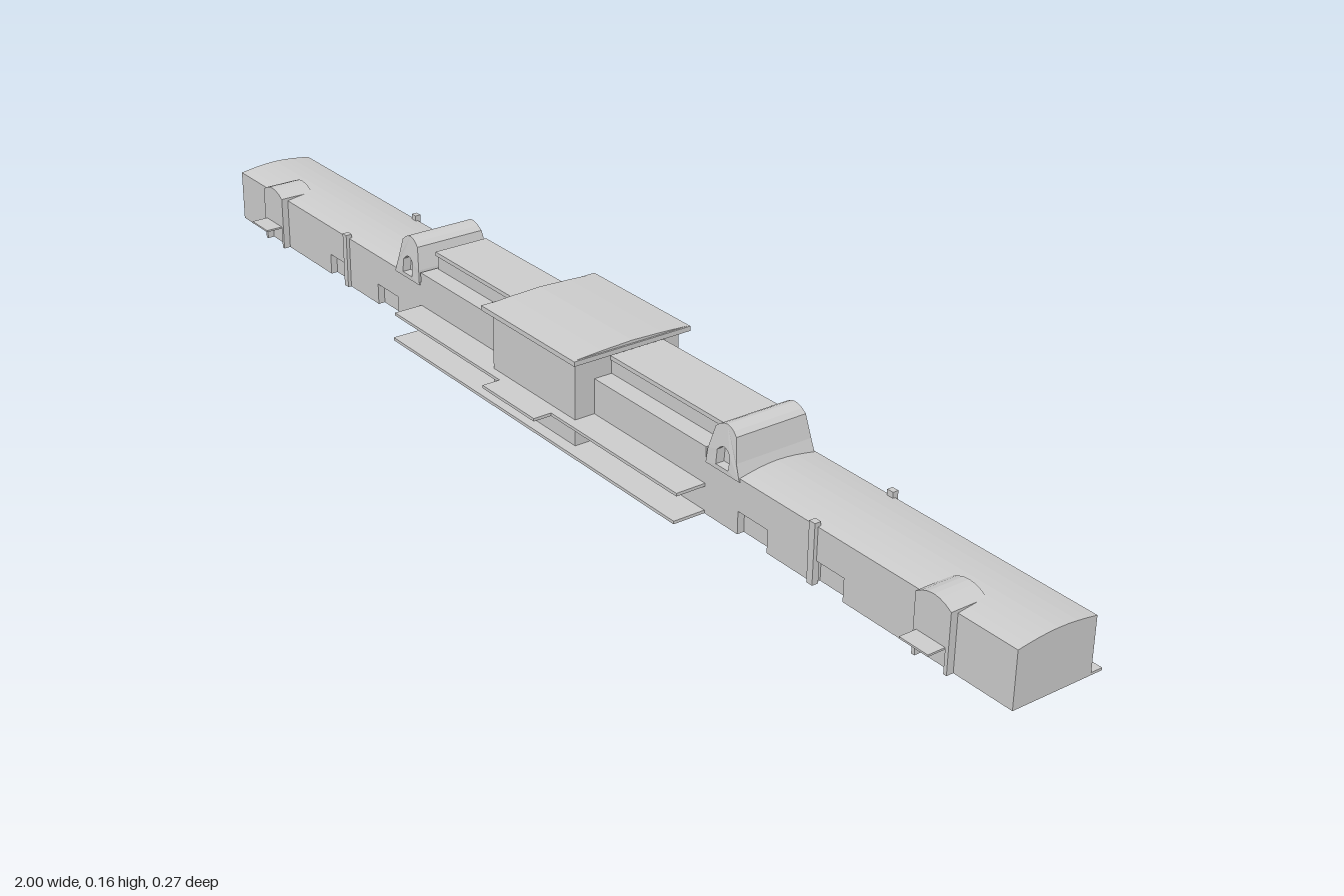
import * as THREE from 'three';

const mat = new THREE.MeshStandardMaterial({ color: 0xcccccc, flatShading: true, side: THREE.DoubleSide });

function add(parent, name, geometry) {
  const mesh = new THREE.Mesh(geometry, mat);
  mesh.name = name;
  parent.add(mesh);
  return mesh;
}

// Box given by its limits
function box(parent, name, x0, x1, y0, y1, z0, z1) {
  const g = new THREE.BoxGeometry(x1 - x0, y1 - y0, z1 - z0);
  g.translate((x0 + x1) / 2, (y0 + y1) / 2, (z0 + z1) / 2);
  return add(parent, name, g);
}

// Open strip: a (z, y) polyline swept along x
function sweep(parent, name, pts, x0, x1) {
  const pos = [];
  for (let i = 0; i < pts.length - 1; i++) {
    const [za, ya] = pts[i], [zb, yb] = pts[i + 1];
    pos.push(x0, ya, za, x1, ya, za, x1, yb, zb, x0, ya, za, x1, yb, zb, x0, yb, zb);
  }
  const g = new THREE.BufferGeometry();
  g.setAttribute('position', new THREE.Float32BufferAttribute(pos, 3));
  g.computeVertexNormals();
  return add(parent, name, g);
}

// Flat end wall closing a (z, y) profile at x
function cap(parent, name, pts, x) {
  const g = new THREE.ShapeGeometry(new THREE.Shape(pts.map(p => new THREE.Vector2(p[0], p[1]))));
  g.rotateY(-Math.PI / 2);
  g.translate(x, 0, 0);
  return add(parent, name, g);
}

// Bottomless building volume
function hall(parent, name, pts, x0, x1) {
  sweep(parent, name, pts, x0, x1);
  cap(parent, name + 'End', pts, x0);
  cap(parent, name + 'End', pts, x1);
}

function rect(x0, x1, y0, y1) {
  return [[x0, y0], [x1, y0], [x1, y1], [x0, y1]].map(p => new THREE.Vector2(...p));
}

const doors = [[0.455, 0.52], [0.62, 0.68]];

// Long wall with doorways and shallow porches behind them
function doorWall(parent, name, z, inward) {
  const pts = [[0.38, 0]];
  for (const [a, b] of doors) pts.push([a, 0], [a, 0.037], [b, 0.037], [b, 0]);
  pts.push([1, 0], [1, 0.09], [0.38, 0.09]);
  const g = new THREE.ShapeGeometry(new THREE.Shape(pts.map(p => new THREE.Vector2(...p))));
  g.translate(0, 0, z);
  add(parent, name, g);
  const zi = z + inward * 0.012;
  for (const [a, b] of doors) {
    sweep(parent, 'doorRecess', [[z, 0.037], [zi, 0.037], [zi, 0]], a, b);
    for (const x of [a, b]) cap(parent, 'doorJamb', [[z, 0], [zi, 0], [zi, 0.037], [z, 0.037]], x);
  }
}

function makeWing() {
  const wing = new THREE.Group();
  // Walls and gently vaulted roof
  doorWall(wing, 'wingFrontWall', 0.05, -1);
  doorWall(wing, 'wingBackWall', -0.09, 1);
  const roof = [];
  for (let i = 0; i <= 8; i++) {
    const t = i / 8;
    roof.push([0.05 - 0.14 * t, 0.09 + 0.007 * Math.sin(Math.PI * t)]);
  }
  sweep(wing, 'wingRoof', roof, 0.38, 1);
  cap(wing, 'wingEndWall', [[0.05, 0], ...roof, [-0.09, 0]], 1);

  // Pilasters marking the joint between wing sections
  box(wing, 'frontPilaster', 0.612, 0.624, 0, 0.097, 0.045, 0.056);
  box(wing, 'backPilaster', 0.612, 0.624, 0, 0.1, -0.095, -0.085);

  // Platforms along the back
  box(wing, 'backPlatform', 0.61, 1, 0, 0.004, -0.11, -0.085);
  box(wing, 'backStep', 0.455, 0.52, 0, 0.004, -0.11, -0.085);

  // Entrance bay with arched roof and canopy
  const bay = new THREE.Shape();
  bay.moveTo(0.828, 0);
  bay.lineTo(0.828, 0.095);
  bay.quadraticCurveTo(0.861, 0.118, 0.894, 0.095);
  bay.lineTo(0.894, 0);
  bay.lineTo(0.888, 0);
  bay.lineTo(0.888, 0.037);
  bay.lineTo(0.834, 0.037);
  bay.lineTo(0.834, 0);
  add(wing, 'entranceBay', new THREE.ExtrudeGeometry(bay, { depth: 0.062, bevelEnabled: false, curveSegments: 6 }));
  box(wing, 'entranceCanopy', 0.834, 0.888, 0.037, 0.04, 0.05, 0.092);

  // Stair tower: flared, tapering cap with an arched notch in each end
  const outline = new THREE.Shape();
  outline.moveTo(0.382, 0.085);
  outline.lineTo(0.385, 0.11);
  outline.lineTo(0.395, 0.147);
  outline.quadraticCurveTo(0.42, 0.17, 0.441, 0.147);
  outline.lineTo(0.449, 0.11);
  outline.lineTo(0.458, 0.085);
  const taper = g => {
    const p = g.attributes.position;
    for (let i = 0; i < p.count; i++) {
      const k = 1 - Math.max(0, p.getY(i) - 0.1) * 2;
      p.setZ(i, -0.018 + (p.getZ(i) + 0.018) * k);
    }
    g.computeVertexNormals();
    return g;
  };
  const core = new THREE.ExtrudeGeometry(outline, { depth: 0.11, bevelEnabled: false, curveSegments: 6 });
  add(wing, 'tower', taper(core.translate(0, 0, -0.073)));
  const rim = outline.clone();
  const notch = new THREE.Path();
  notch.moveTo(0.405, 0.092);
  notch.lineTo(0.405, 0.115);
  notch.quadraticCurveTo(0.419, 0.132, 0.433, 0.115);
  notch.lineTo(0.433, 0.092);
  rim.holes.push(notch);
  for (const z of [0.037, -0.088]) {
    const g = new THREE.ExtrudeGeometry(rim, { depth: 0.015, bevelEnabled: false, curveSegments: 6 });
    add(wing, 'towerArch', taper(g.translate(0, 0, z)));
  }
  return wing;
}

export function createModel() {
  const model = new THREE.Group();
  model.name = 'terminalBuilding';

  // Two mirrored wings
  const left = makeWing();
  left.name = 'leftWing';
  const right = makeWing();
  right.name = 'rightWing';
  right.scale.x = -1;
  model.add(left, right);

  // Main hall: lower storey, raised upper storey and roof slab
  const main = new THREE.Group();
  main.name = 'mainHall';
  model.add(main);
  hall(main, 'lowerHall', [[0.05, 0], [0.05, 0.108], [-0.09, 0.108], [-0.09, 0]], -0.38, 0.38);
  hall(main, 'upperHall', [[0.018, 0.108], [0.018, 0.132], [-0.078, 0.132], [-0.078, 0.108]], -0.375, 0.375);
  box(main, 'hallRoof', -0.38, 0.38, 0.131, 0.138, -0.08, 0.02);
  // Curved glazing down the back
  const curve = [];
  for (let i = 0; i <= 6; i++) {
    const a = (i / 6) * Math.PI / 2;
    curve.push([-0.078 - 0.02 * Math.sin(a), 0.095 + 0.037 * Math.cos(a)]);
  }
  hall(main, 'backGlazing', [...curve, [-0.088, 0.095]], -0.375, 0.375);

  // Ground platforms and raised road decks on both sides
  box(main, 'frontPlatform', -0.38, 0.38, 0, 0.005, 0.05, 0.106);
  box(main, 'backPlatform', -0.38, 0.38, 0, 0.005, -0.132, -0.09);
  box(main, 'frontDeck', -0.38, 0.38, 0.044, 0.049, 0.05, 0.102);
  box(main, 'backDeck', -0.38, 0.38, 0.044, 0.049, -0.132, -0.09);
  box(main, 'entranceDeck', -0.07, 0.07, 0.044, 0.049, 0.08, 0.134);

  // Central block with overhanging, low-hipped roof
  const block = new THREE.Group();
  block.name = 'centralBlock';
  model.add(block);
  hall(block, 'blockWalls', [[0.086, 0], [0.086, 0.147], [-0.109, 0.147], [-0.109, 0]], -0.11, 0.11);
  box(block, 'roofSoffit', -0.115, 0.115, 0.143, 0.148, -0.115, 0.092);
  box(block, 'roofSlab', -0.125, 0.125, 0.147, 0.155, -0.12, 0.098);
  hall(block, 'roofCrown', [[0.095, 0.155], [0.045, 0.158], [-0.011, 0.16], [-0.067, 0.158], [-0.117, 0.155]], -0.122, 0.122);
  return model;
}
